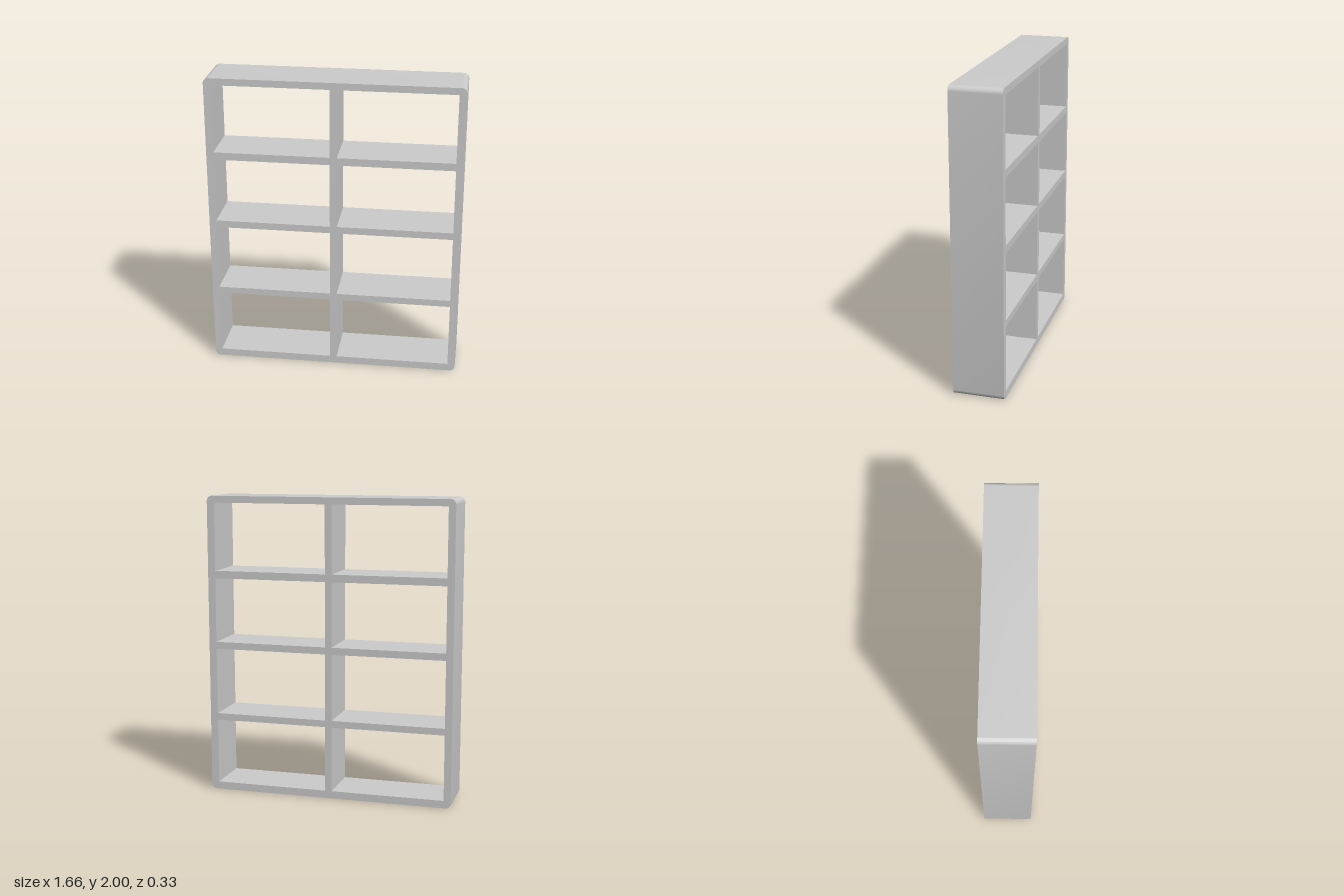
import * as THREE from 'three';
import { toCreasedNormals } from 'three/addons/utils/BufferGeometryUtils.js';

const W = 0.83, H = 2, DEPTH = 0.334, R = 0.035;
const LEFT = -0.783, RIGHT = 0.78, BOTTOM = 0.05, TOP = 1.955;
const DIVIDER = [-0.025, 0.02];
const SHELVES = [[0.488, 0.533], [0.978, 1.025], [1.455, 1.505]];

const material = new THREE.MeshStandardMaterial({ color: 0xcccccc });

// Box given by its x and y limits, running the full depth
function board(name, x0, x1, y0, y1) {
  const mesh = new THREE.Mesh(new THREE.BoxGeometry(x1 - x0, y1 - y0, DEPTH), material);
  mesh.position.set((x0 + x1) / 2, (y0 + y1) / 2, 0);
  mesh.name = name;
  return mesh;
}

// Outer frame with rounded corners and one rectangular opening
function outerFrame() {
  const shape = new THREE.Shape();
  shape.moveTo(-W + R, 0);
  shape.absarc(W - R, R, R, -Math.PI / 2, 0);
  shape.absarc(W - R, H - R, R, 0, Math.PI / 2);
  shape.absarc(-W + R, H - R, R, Math.PI / 2, Math.PI);
  shape.absarc(-W + R, R, R, Math.PI, Math.PI * 1.5);

  const hole = new THREE.Path();
  hole.moveTo(LEFT, BOTTOM);
  hole.lineTo(LEFT, TOP);
  hole.lineTo(RIGHT, TOP);
  hole.lineTo(RIGHT, BOTTOM);
  hole.closePath();
  shape.holes.push(hole);

  const geometry = new THREE.ExtrudeGeometry(shape, { depth: DEPTH, bevelEnabled: false, curveSegments: 8 });
  geometry.translate(0, 0, -DEPTH / 2);
  const mesh = new THREE.Mesh(toCreasedNormals(geometry, Math.PI / 6), material);
  mesh.name = 'outerFrame';
  return mesh;
}

export function createModel() {
  const group = new THREE.Group();
  group.name = 'bookshelf';
  group.add(outerFrame());

  // Central upright
  group.add(board('centreDivider', DIVIDER[0], DIVIDER[1], BOTTOM, TOP));

  // Shelves on either side of the upright
  SHELVES.forEach(([y0, y1], i) => {
    group.add(board(`rightShelf${i + 1}`, LEFT, DIVIDER[0], y0, y1));
    group.add(board(`leftShelf${i + 1}`, DIVIDER[1], RIGHT, y0, y1));
  });
  return group;
}
